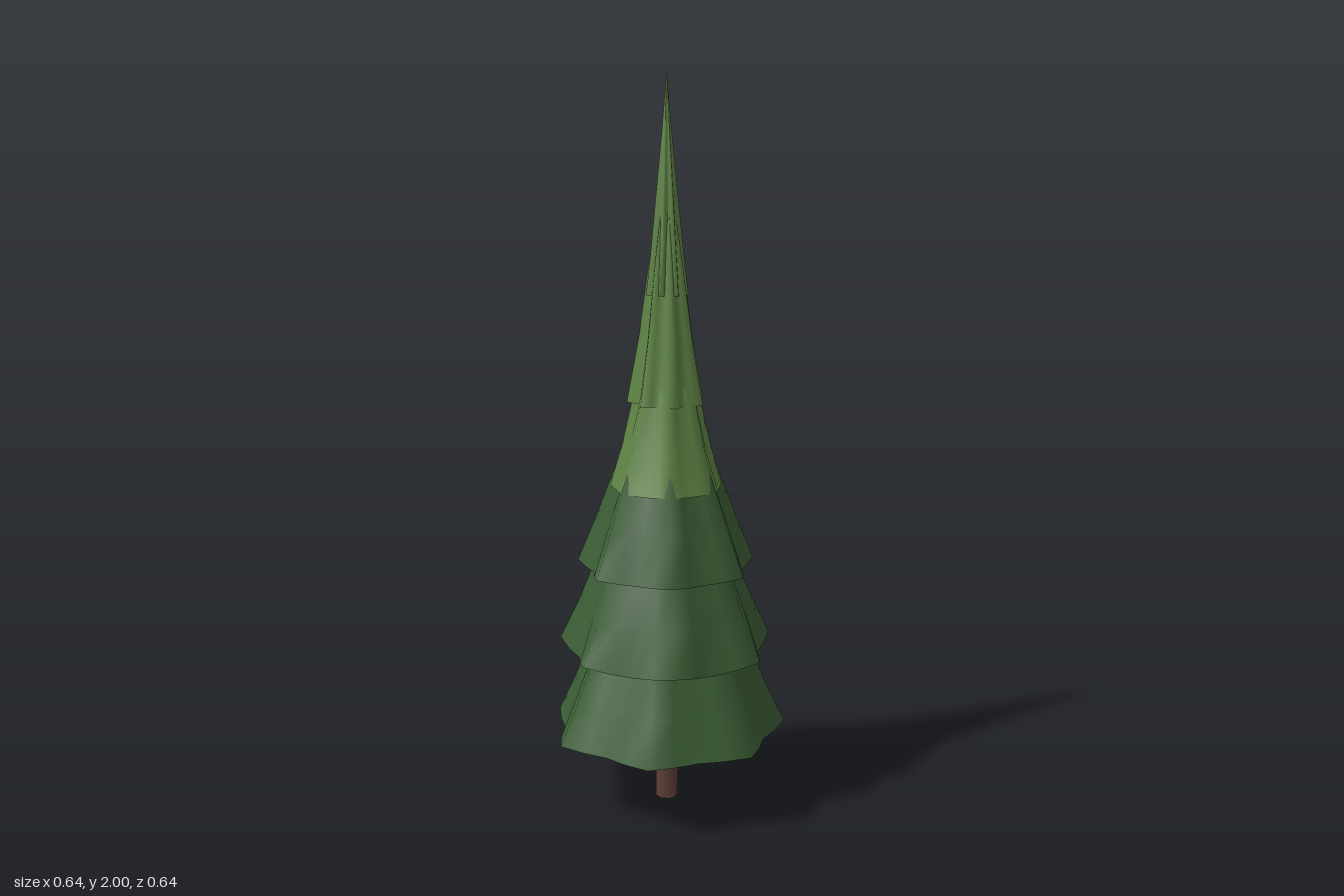
import * as THREE from 'three';

const POINTS = 7;            // branch tips per skirt
const STEPS = 4;             // segments from tip to tip
const N = POINTS * STEPS;

// Open star-shaped skirt. Each ring is [y, radius at ridge, radius at valley], rim first.
function skirt(rings, offsetDeg, sag) {
  const pos = [], index = [];
  rings.forEach(([y, tip, valley], i) => {
    for (let j = 0; j < N; j++) {
      const a = THREE.MathUtils.degToRad(offsetDeg) + (j / N) * Math.PI * 2;
      const phase = (j % STEPS) / STEPS;
      const w = Math.pow(Math.abs(1 - 2 * phase), 1.3); // 1 on a ridge, 0 in a valley
      const r = valley + (tip - valley) * w;
      pos.push(r * Math.cos(a), y - (i === 0 ? sag * (1 - w) : 0), r * Math.sin(a));
    }
  });
  for (let i = 0; i < rings.length - 1; i++) {
    for (let j = 0; j < N; j++) {
      const k = (j + 1) % N;
      const a = i * N + j, b = i * N + k, c = a + N, d = b + N;
      index.push(a, c, b, b, c, d);
    }
  }
  const g = new THREE.BufferGeometry();
  g.setAttribute('position', new THREE.Float32BufferAttribute(pos, 3));
  g.setIndex(index);
  g.computeVertexNormals();
  return g;
}

export function createModel() {
  const darkGreen = new THREE.MeshStandardMaterial({ color: 0x3b5d35, side: THREE.DoubleSide });
  const lightGreen = new THREE.MeshStandardMaterial({ color: 0x5f8445, side: THREE.DoubleSide });
  const bark = new THREE.MeshStandardMaterial({ color: 0x5c4036 });
  darkGreen.name = 'dark green needles';
  lightGreen.name = 'light green needles';
  bark.name = 'bark';

  const tree = new THREE.Group();
  tree.name = 'firTree';
  const add = (name, geometry, material) => {
    const mesh = new THREE.Mesh(geometry, material);
    mesh.name = name;
    mesh.position.x = -0.01;
    tree.add(mesh);
  };

  // Trunk, running up inside the lowest skirt
  add('trunk', new THREE.CylinderGeometry(0.024, 0.032, 0.8, 8).translate(0, 0.4, 0.004), bark);

  // Dark skirts, bottom to top
  add('lowestBranches', skirt([
    [0.212, 0.332, 0.285], [0.32, 0.28, 0.245], [0.43, 0.235, 0.205], [0.65, 0.14, 0.12], [0.85, 0, 0],
  ], 5, 0.004), darkGreen);
  add('lowerBranches', skirt([
    [0.452, 0.302, 0.25], [0.56, 0.25, 0.215], [0.67, 0.205, 0.175], [0.9, 0.11, 0.09], [1.05, 0, 0],
  ], -8, 0.02), darkGreen);
  add('middleBranches', skirt([
    [0.68, 0.25, 0.205], [0.8, 0.2, 0.165], [0.9, 0.162, 0.13], [1.0, 0.122, 0.095], [1.2, 0.04, 0.03], [1.3, 0, 0],
  ], -7, 0.01), darkGreen);

  // Light skirts, rising to the pointed top
  add('upperBranches', skirt([
    [0.9, 0.157, 0.143], [1.0, 0.126, 0.108], [1.12, 0.098, 0.08], [1.3, 0.055, 0.042], [1.5, 0, 0],
  ], -7, 0.003), lightGreen);
  add('highestBranches', skirt([
    [1.13, 0.108, 0.078], [1.3, 0.076, 0.055], [1.5, 0.048, 0.033], [1.7, 0.015, 0.012], [1.8, 0, 0],
  ], -15, 0.0), lightGreen);
  add('treetop', skirt([
    [1.42, 0.058, 0.036], [1.55, 0.043, 0.028], [1.7, 0.028, 0.02], [1.85, 0.013, 0.01], [2.0, 0, 0],
  ], 15, 0.0), lightGreen);

  return tree;
}
